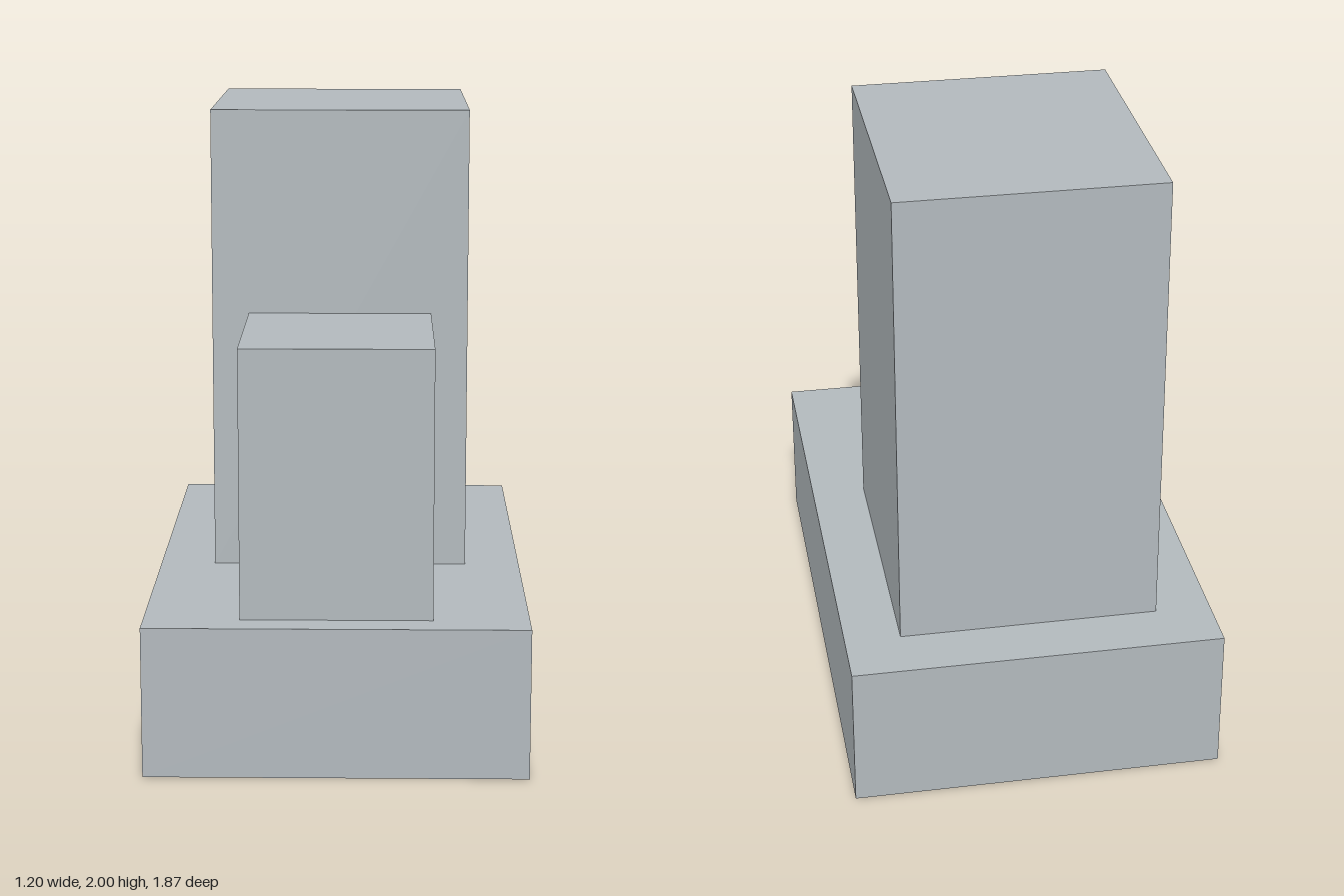
import * as THREE from 'three';

export function createModel() {
  const model = new THREE.Group();
  model.name = 'steppedBlocks';

  const grey = new THREE.MeshStandardMaterial({ color: 0xb2b9bd });
  grey.name = 'lightGrey';

  // Box spanning the given x half-width, y range and z range
  const addBlock = (name, halfWidth, y0, y1, z0, z1) => {
    const geometry = new THREE.BoxGeometry(2 * halfWidth, y1 - y0, z1 - z0);
    const mesh = new THREE.Mesh(geometry, grey);
    mesh.name = name;
    mesh.position.set(0, (y0 + y1) / 2, (z0 + z1) / 2);
    model.add(mesh);
  };

  const baseTop = 0.48;
  const towerFront = 0.187;

  // Wide plinth carrying both blocks
  addBlock('base', 0.6, 0, baseTop, -0.935, 0.935);
  // Tall block at the rear
  addBlock('tower', 0.42, baseTop, 2, -0.747, towerFront);
  // Lower block against the front of the tower
  addBlock('frontBlock', 0.3, baseTop, 1.333, towerFront, 0.84);

  return model;
}
